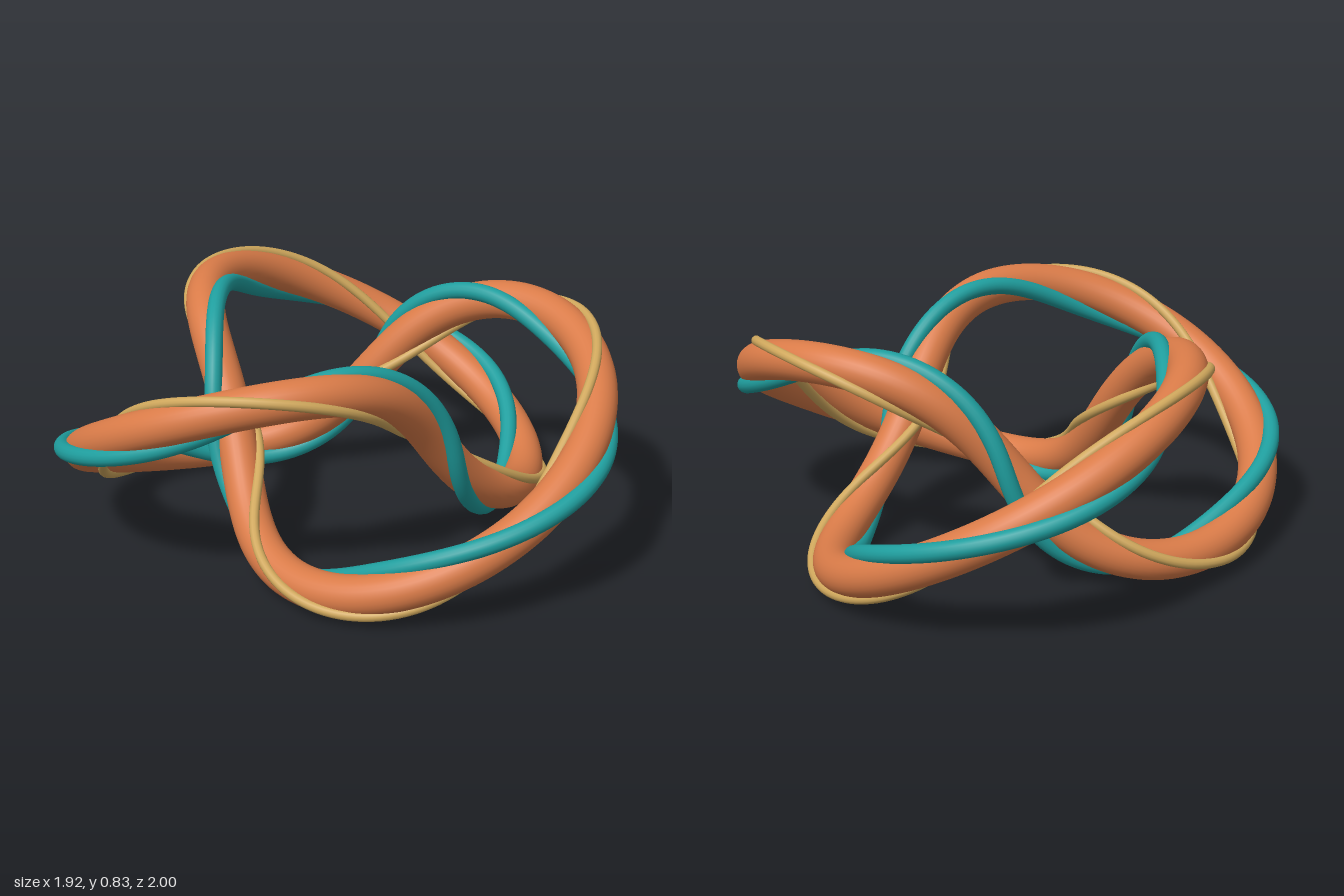
import * as THREE from 'three';

const TURNS = 2;              // trips around the axis before the knot closes
const CENTRE_X = -0.11, CENTRE_Y = 0.415;
const RING = 0.695, SWING = 0.27, LIFT = 0.345;

// Centre line of a three-lobed knot
function knotPoint(phi) {
  const r = RING + SWING * Math.cos(1.5 * phi);
  return new THREE.Vector3(
    CENTRE_X + r * Math.cos(phi),
    CENTRE_Y - LIFT * Math.sin(1.5 * phi),
    r * Math.sin(phi)
  );
}

// Curve that winds around the knot at a given distance and starting angle
class WoundCurve extends THREE.Curve {
  constructor(offset, phase) {
    super();
    this.offset = offset;
    this.phase = phase;
    this.arcLengthDivisions = 1200;
  }
  getPoint(t, target = new THREE.Vector3()) {
    const phi = t * TURNS * Math.PI * 2;
    target.copy(knotPoint(phi));
    if (this.offset === 0) return target;
    const tangent = knotPoint(phi + 0.001).sub(knotPoint(phi - 0.001)).normalize();
    const outward = new THREE.Vector3(tangent.z, 0, -tangent.x).normalize();
    const upward = new THREE.Vector3().crossVectors(tangent, outward);
    const angle = 3 * phi + this.phase;
    return target
      .addScaledVector(outward, Math.cos(angle) * this.offset)
      .addScaledVector(upward, Math.sin(angle) * this.offset);
  }
}

function material(name, color) {
  const m = new THREE.MeshStandardMaterial({ color });
  m.name = name;
  return m;
}

export function createModel() {
  const group = new THREE.Group();
  group.name = 'knot';

  const strand = (name, offset, phase, radius, sides, mat) => {
    const curve = new WoundCurve(offset, phase);
    const mesh = new THREE.Mesh(new THREE.TubeGeometry(curve, 400, radius, sides, true), mat);
    mesh.name = name;
    group.add(mesh);
  };

  // Thick core with two cords wound on opposite sides
  strand('coreTube', 0, 0, 0.071, 28, material('orange', 0xd97b48));
  strand('thickCord', 0.074, 0, 0.032, 16, material('teal', 0x1f9e9e));
  strand('thinCord', 0.074, Math.PI, 0.018, 12, material('gold', 0xcfa75c));

  return group;
}
